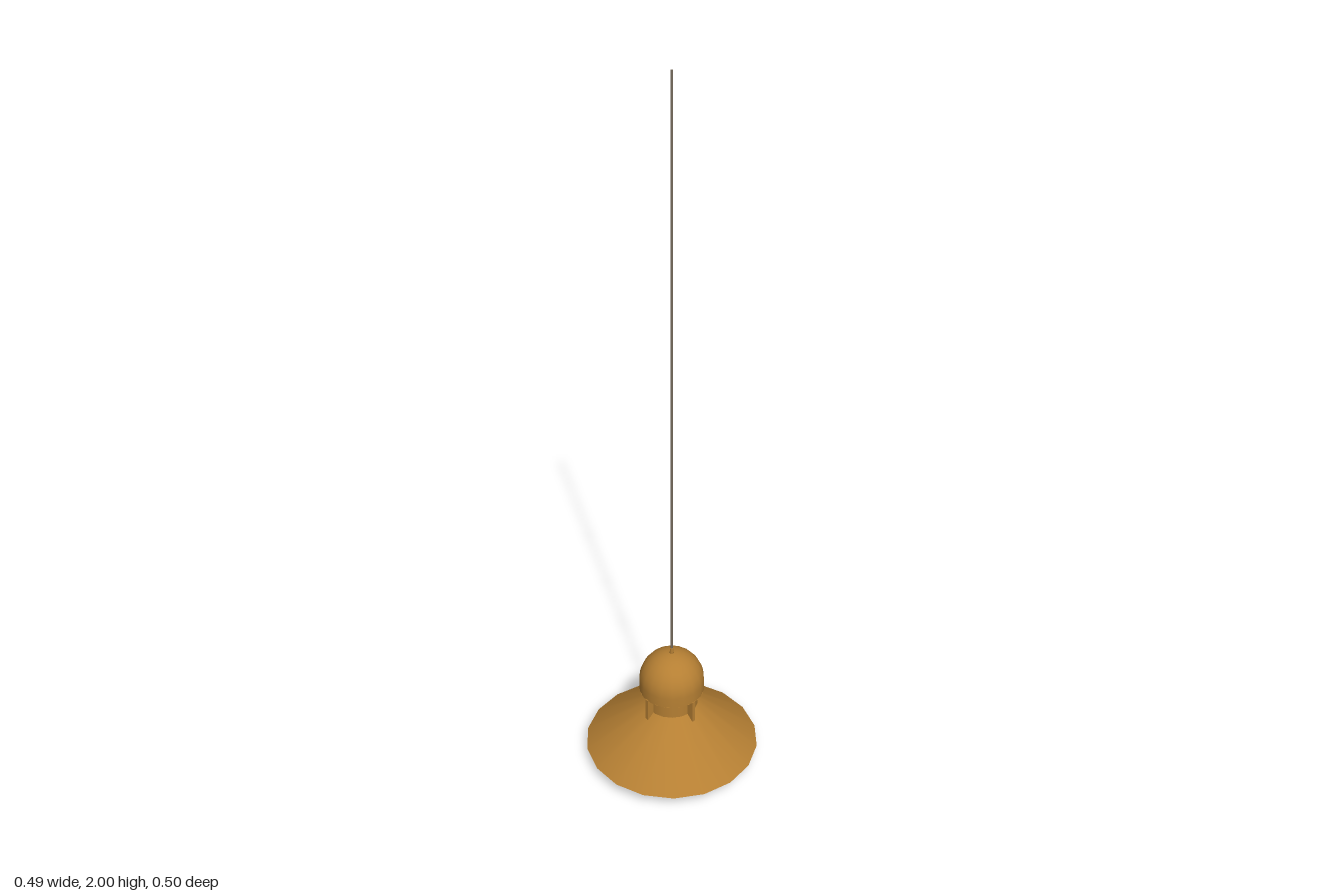
import * as THREE from 'three';

const brass = new THREE.MeshStandardMaterial({ color: 0xb57f33, side: THREE.DoubleSide });
const grey = new THREE.MeshStandardMaterial({ color: 0xcccccc });
const cordMat = new THREE.MeshStandardMaterial({ color: 0x7a6f60 });
const SIDES = 18;

// Points of a quarter circle from angle a to angle b, centred on the axis at height cy
function arc(r, cy, a, b, n) {
  return Array.from({ length: n + 1 }, (_, i) => {
    const t = a + ((b - a) * i) / n;
    return new THREE.Vector2(Math.max(0, r * Math.cos(t)), cy + r * Math.sin(t));
  });
}

export function createModel() {
  const lamp = new THREE.Group();
  lamp.name = 'pendantLamp';
  const add = (name, geometry, material, x = 0, y = 0, z = 0) => {
    const mesh = new THREE.Mesh(geometry, material);
    mesh.name = name;
    mesh.position.set(x, y, z);
    lamp.add(mesh);
    return mesh;
  };

  // Wide conical shade, open below
  add('shade', new THREE.CylinderGeometry(0.075, 0.25, 0.14, SIDES, 1, true), brass, 0, 0.11, 0);

  // Neck between shade and cap
  add('neck', new THREE.CylinderGeometry(0.075, 0.075, 0.06, SIDES, 1, true), brass, 0, 0.205, 0);

  // Domed cap with a short straight skirt and a flat underside
  const capProfile = [new THREE.Vector2(0.093, 0.232), ...arc(0.093, 0.262, 0, Math.PI / 2, 8)];
  add('cap', new THREE.LatheGeometry(capProfile, SIDES), brass);
  const underside = new THREE.RingGeometry(0.072, 0.093, SIDES);
  underside.rotateX(Math.PI / 2);
  add('capUnderside', underside, brass, 0, 0.232, 0);

  // Three thin ribs joining cap and shade: front, right and back
  [0, -Math.PI / 2, Math.PI].forEach((angle) => {
    const rib = add('rib', new THREE.BoxGeometry(0.01, 0.07, 0.025), brass,
      Math.sin(angle) * 0.082, 0.199, Math.cos(angle) * 0.082);
    rib.rotation.y = angle;
  });

  // Round-ended bulb
  const bulbProfile = [
    ...arc(0.075, 0.075, -Math.PI / 2, 0, 8),
    new THREE.Vector2(0.075, 0.165),
    new THREE.Vector2(0.06, 0.178),
    new THREE.Vector2(0, 0.178),
  ];
  add('bulb', new THREE.LatheGeometry(bulbProfile, SIDES), grey);

  // Cord and its small collar
  add('cordCollar', new THREE.CylinderGeometry(0.005, 0.006, 0.022, 8), brass, 0, 0.361, 0);
  add('cord', new THREE.CylinderGeometry(0.003, 0.003, 1.65, 8), cordMat, 0, 1.175, 0);

  return lamp;
}
